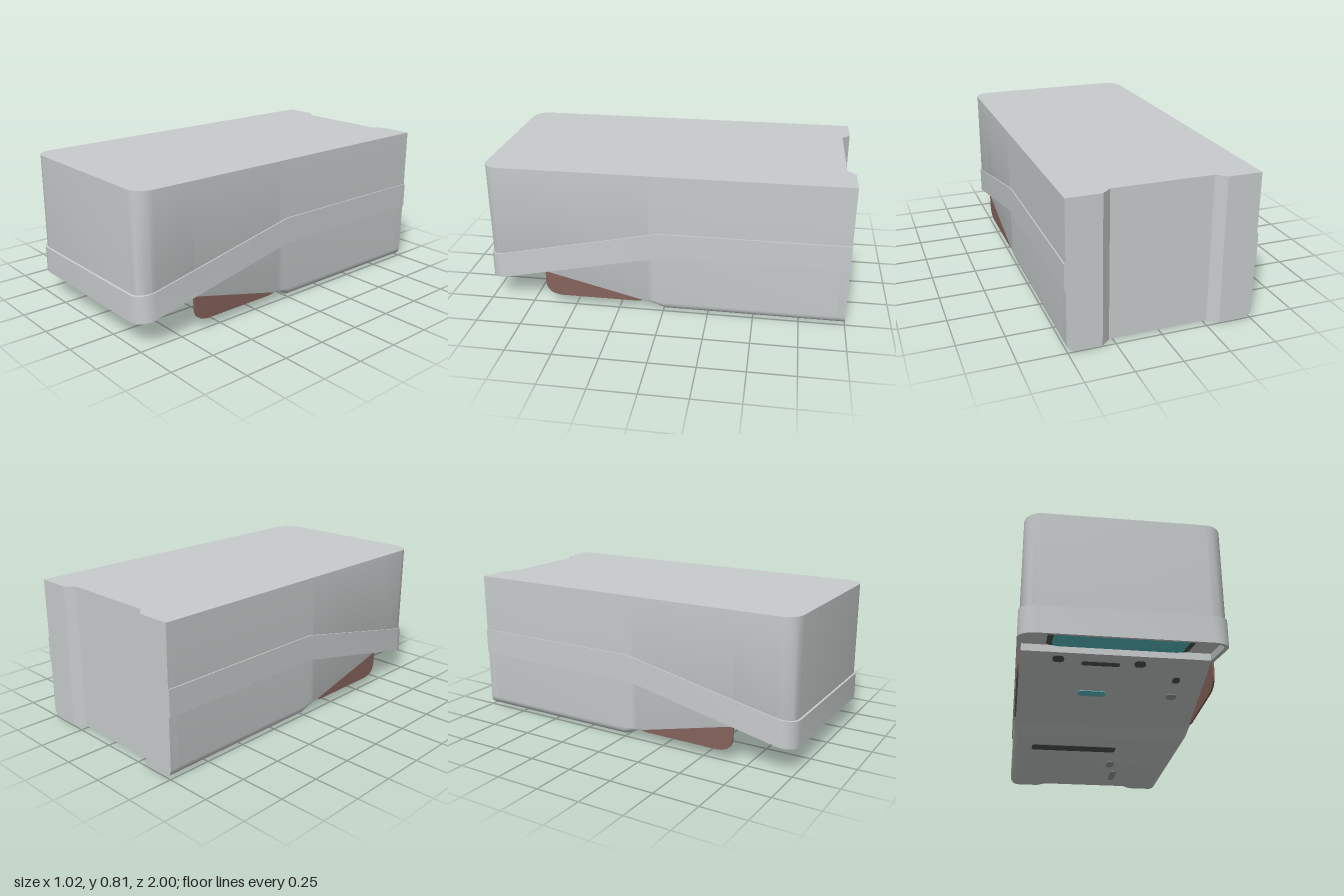
import * as THREE from 'three';
import { toCreasedNormals } from 'three/addons/utils/BufferGeometryUtils.js';

const material = (name, color, side = THREE.FrontSide) => {
  const m = new THREE.MeshStandardMaterial({ color, side });
  m.name = name;
  return m;
};

// Joins convex cross-sections (counter-clockwise seen from ahead) into a capped solid
function loft(rings) {
  const pos = [];
  const tri = (...pts) => pts.forEach((p) => pos.push(...p));
  const n = rings[0].length;
  for (let i = 0; i < rings.length - 1; i++) {
    for (let j = 0; j < n; j++) {
      const k = (j + 1) % n;
      const a = rings[i][j], b = rings[i][k], c = rings[i + 1][k], d = rings[i + 1][j];
      tri(a, b, c);
      tri(a, c, d);
    }
  }
  const first = rings[0], last = rings[rings.length - 1];
  for (let j = 1; j < n - 1; j++) {
    tri(first[0], first[j + 1], first[j]);
    tri(last[0], last[j], last[j + 1]);
  }
  const g = new THREE.BufferGeometry();
  g.setAttribute('position', new THREE.Float32BufferAttribute(pos, 3));
  return toCreasedNormals(g, 0.5);
}

const TOP = 0.81, FLOOR = 0.005, WIDTH = 0.505, EDGE = 0.05, STEPS = 6;

// Lower edge of the trim band, and the undersides that follow from it
const bandLow = (z) => 0.335 - Math.max(0, z - 0.025) * 0.21;
const recessY = (z) => bandLow(z) + 0.04;
const slopeY = (z) => 0.063 + (z - 0.12) * 0.249;

// Rounded lower corner on the +x side, from the bottom up to the side
function lowerCorner(w, b, r, z) {
  const pts = [];
  for (let i = 0; i <= STEPS; i++) {
    const a = (i / STEPS) * Math.PI / 2;
    pts.push([w - r + r * Math.sin(a), b + r - r * Math.cos(a), z]);
  }
  return pts;
}
const mirrorRing = (ring) => ring.map(([x, y, z]) => [-x, y, z]).reverse();

function bodyRing(z, b, r, w = WIDTH) {
  const half = [...lowerCorner(w, b, r, z), [w, TOP, z]];
  return [...half, ...mirrorRing(half)];
}

function bodyGeometry() {
  const rings = [
    [-0.955, FLOOR, EDGE], [-0.01, FLOOR, EDGE], [0.02, 0.022, 0.035], [0.05, 0.042, 0.02],
    [0.085, 0.056, 0.01], [0.12, 0.063, 0.003], [0.67, 0.2, 0.003],
  ].map(([z, b, r]) => bodyRing(z, b, r));
  rings.push(bodyRing(0.67, recessY(0.67), 0.003));
  const R = 0.09;
  for (let i = 0; i <= STEPS; i++) {
    const a = (i / STEPS) * Math.PI / 2;
    const z = 0.99 - R + R * Math.sin(a);
    rings.push(bodyRing(z, recessY(z), 0.003, WIDTH - R + R * Math.cos(a)));
  }
  return loft(rings);
}

// Back pillars either side of the full-height notch
function pillarGeometry(side) {
  const rings = [[-1, 0.32], [-0.955, 0.27]].map(([z, inner]) => {
    const ring = [[inner, FLOOR, z], ...lowerCorner(WIDTH, FLOOR, EDGE, z), [WIDTH, TOP, z], [inner, TOP, z]];
    return side > 0 ? ring : mirrorRing(ring);
  });
  return loft(rings);
}

// U-shaped plan path, open at the back
function planPath(w, front, R) {
  const half = [[w, -1], [w, 0.025]];
  for (let i = 0; i <= STEPS; i++) {
    const a = (i / STEPS) * Math.PI / 2;
    half.push([w - R + R * Math.cos(a), front - R + R * Math.sin(a)]);
  }
  return [...half, ...half.map(([x, z]) => [-x, z]).reverse()];
}

function bandGeometry() {
  const outer = planPath(0.512, 1, 0.095);
  const inner = planPath(0.49, 0.978, 0.073);
  return loft(outer.map(([x, z], i) => {
    const [u, v] = inner[i];
    const lo = bandLow(z), li = bandLow(v);
    return [[x, lo, z], [x, lo + 0.147, z], [u, li + 0.147, v], [u, li, v]];
  }));
}

// Side fin drawn in the z-y plane
function finGeometry() {
  const s = new THREE.Shape();
  s.moveTo(0.1, 0.07);
  s.quadraticCurveTo(0.12, 0.055, 0.16, 0.055);
  s.lineTo(0.58, 0.055);
  s.quadraticCurveTo(0.67, 0.06, 0.67, 0.14);
  s.lineTo(0.67, 0.2);
  s.lineTo(0.12, 0.064);
  const g = new THREE.ExtrudeGeometry(s, { depth: 0.01, bevelEnabled: false, curveSegments: 10 });
  return g.rotateY(-Math.PI / 2);
}

// Thin rounded plate facing down
function plateGeometry(w, d, r, depth) {
  const s = new THREE.Shape();
  const x = w / 2, y = d / 2;
  s.absarc(x - r, y - r, r, 0, Math.PI / 2);
  s.absarc(r - x, y - r, r, Math.PI / 2, Math.PI);
  s.absarc(r - x, r - y, r, Math.PI, Math.PI * 1.5);
  s.absarc(x - r, r - y, r, Math.PI * 1.5, Math.PI * 2);
  const g = new THREE.ExtrudeGeometry(s, { depth, bevelEnabled: false, curveSegments: 5 });
  return g.rotateX(Math.PI / 2);
}

export function createModel() {
  const grey = material('shell grey', 0xc8cccc);
  const slotGrey = material('slot grey', 0x989c9c);
  const dark = material('dark grey', 0x50544f);
  const teal = material('teal', 0x5bbec4);
  const brown = material('brown', 0x86635b, THREE.DoubleSide);

  const group = new THREE.Group();
  const add = (name, geometry, mat) => {
    const mesh = new THREE.Mesh(geometry, mat);
    mesh.name = name;
    group.add(mesh);
    return mesh;
  };

  add('body', bodyGeometry(), grey);
  add('trimBand', bandGeometry(), grey);
  for (const side of [1, -1]) {
    const label = side > 0 ? 'left' : 'right';
    add(label + 'BackPillar', pillarGeometry(side), grey);
    add(label + 'Fin', finGeometry(), brown).position.x = side > 0 ? 0.504 : -0.494;
  }

  // Plates on the three undersides: flat base, sloped panel, front recess
  const surfaces = {
    base: { y: () => FLOOR, slope: 0 },
    panel: { y: slopeY, slope: 0.249 },
    recess: { y: recessY, slope: -0.21 },
  };
  const plate = (name, mat, on, x, z, w, d, r, depth = 0.004) => {
    const mesh = add(name, plateGeometry(w, d, r, depth), mat);
    mesh.position.set(x, surfaces[on].y(z), z);
    mesh.rotation.x = -Math.atan(surfaces[on].slope);
  };

  plate('baseVent', dark, 'base', -0.14, -0.21, 0.5, 0.085, 0.02);
  plate('longSlot', slotGrey, 'base', 0.16, -0.715, 0.04, 0.19, 0.018);
  plate('shortSlot', slotGrey, 'base', 0.116, -0.485, 0.045, 0.11, 0.02);
  plate('baseDot', slotGrey, 'base', 0.236, -0.5, 0.02, 0.02, 0.009);

  plate('indicator', teal, 'panel', -0.096, 0.355, 0.15, 0.045, 0.02);
  plate('panelSlot', dark, 'panel', -0.075, 0.6, 0.2, 0.03, 0.014);
  plate('panelButtonLeft', dark, 'panel', 0.128, 0.614, 0.06, 0.05, 0.022);
  plate('panelButtonRight', dark, 'panel', -0.296, 0.623, 0.06, 0.05, 0.022);
  plate('sideButton', dark, 'panel', 0.34, 0.5, 0.04, 0.05, 0.018);
  plate('sideSlot', slotGrey, 'panel', 0.34, 0.36, 0.06, 0.05, 0.022);

  plate('windowFrame', dark, 'recess', 0, 0.808, 0.73, 0.265, 0.04);
  plate('frameTab', dark, 'recess', 0.385, 0.915, 0.08, 0.045, 0.02);
  plate('window', teal, 'recess', 0, 0.798, 0.67, 0.24, 0.035, 0.008);

  return group;
}
